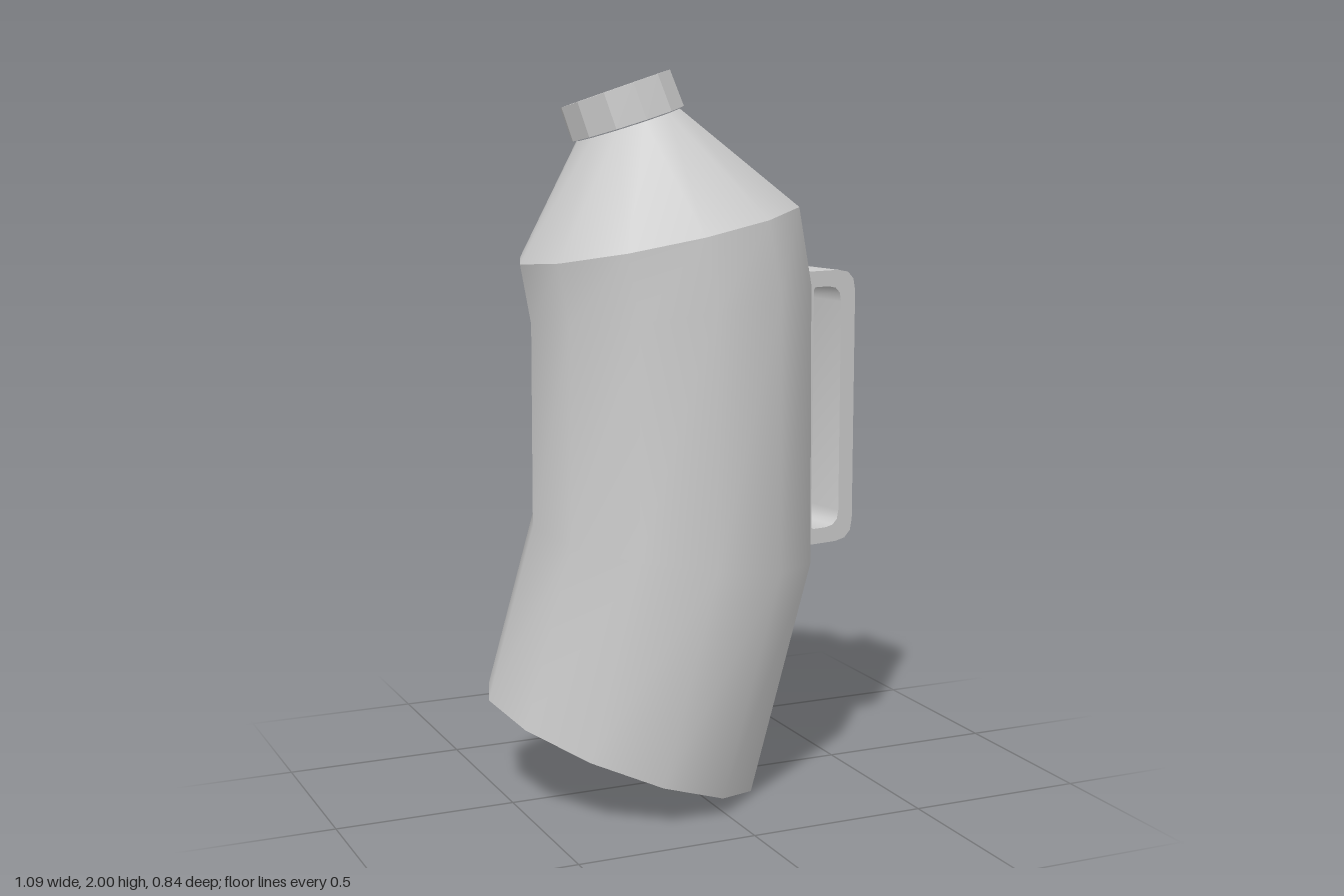
import * as THREE from 'three';
import { toCreasedNormals } from 'three/addons/utils/BufferGeometryUtils.js';

const SIDES = 12;
const TWIST = 0.09;

// Tilted ring: centre, radii along x and z, and rise of its plane per unit x and z
const ring = (x, y, z, rx, rz, slopeX, slopeZ) => ({ x, y, z, rx, rz, slopeX, slopeZ });

function ringPoint(r, i) {
  const a = TWIST + (i / SIDES) * Math.PI * 2;
  const dx = r.rx * Math.cos(a);
  const dz = r.rz * Math.sin(a);
  return [r.x + dx, r.y + r.slopeX * dx + r.slopeZ * dz, r.z + dz];
}

function build(points, index) {
  const g = new THREE.BufferGeometry();
  g.setAttribute('position', new THREE.Float32BufferAttribute(points.flat(), 3));
  g.setIndex(index);
  g.computeVertexNormals();
  return g;
}

// Wall through a stack of rings, lowest first
function loft(rings) {
  const points = [];
  const index = [];
  rings.forEach((r, k) => {
    for (let i = 0; i < SIDES; i++) {
      points.push(ringPoint(r, i));
      if (k === 0) continue;
      const j = (i + 1) % SIDES;
      const a = (k - 1) * SIDES;
      const b = k * SIDES;
      index.push(a + i, b + i, a + j, a + j, b + i, b + j);
    }
  });
  return build(points, index);
}

// Flat end closing one ring
function disc(r, up) {
  const points = [[r.x, r.y, r.z]];
  const index = [];
  for (let i = 0; i < SIDES; i++) {
    points.push(ringPoint(r, i));
    const p = 1 + i;
    const q = 1 + ((i + 1) % SIDES);
    index.push(0, ...(up ? [q, p] : [p, q]));
  }
  return build(points, index);
}

// Rectangle with rounded corners, for the handle outline and its opening
function roundedRect(PathType, x0, y0, x1, y1, r0, r1) {
  const p = new PathType();
  p.moveTo(x0 + r0, y0);
  p.lineTo(x1 - r1, y0);
  p.quadraticCurveTo(x1, y0, x1, y0 + r1);
  p.lineTo(x1, y1 - r1);
  p.quadraticCurveTo(x1, y1, x1 - r1, y1);
  p.lineTo(x0 + r0, y1);
  p.quadraticCurveTo(x0, y1, x0, y1 - r0);
  p.lineTo(x0, y0 + r0);
  p.quadraticCurveTo(x0, y0, x0 + r0, y0);
  return p;
}

export function createModel() {
  const group = new THREE.Group();
  const smooth = new THREE.MeshStandardMaterial({ color: 0xcccccc });
  const faceted = new THREE.MeshStandardMaterial({ color: 0xcccccc, flatShading: true });
  const add = (name, geometry, material = smooth) => {
    const mesh = new THREE.Mesh(geometry, material);
    mesh.name = name;
    group.add(mesh);
    return mesh;
  };

  const base = ring(-0.172, 0.142, -0.025, 0.374, 0.397, -0.37, -0.09);
  const lower = ring(-0.033, 0.715, 0.022, 0.395, 0.395, -0.14, -0.05);
  const upper = ring(-0.035, 1.38, 0.022, 0.391, 0.391, 0.13, 0.03);
  const shoulder = ring(-0.065, 1.565, 0.012, 0.387, 0.39, 0.195, 0.05);
  const neck = ring(-0.14, 1.855, -0.015, 0.14, 0.15, 0.3, 0.1);
  const lidBottom = ring(-0.142, 1.858, -0.015, 0.152, 0.166, 0.3, 0.1);
  const lidTop = ring(-0.173, 1.95, -0.028, 0.148, 0.163, 0.32, 0.13);

  // Bent bottle
  add('body', loft([base, lower, upper, shoulder]));
  add('bottom', disc(base, false));
  add('shoulder', loft([shoulder, neck]));

  // Screw lid
  add('lidSide', loft([lidBottom, lidTop]), faceted);
  add('lidTop', disc(lidTop, true));
  add('lidUnderside', disc(lidBottom, false));

  // Broad loop handle
  const outline = roundedRect(THREE.Shape, -0.03, 0.66, 0.182, 1.445, 0.01, 0.06);
  outline.holes.push(roundedRect(THREE.Path, 0.035, 0.705, 0.132, 1.4, 0.01, 0.045));
  const width = 0.206;
  const loop = new THREE.ExtrudeGeometry(outline, { depth: width, bevelEnabled: false, curveSegments: 3 });
  loop.translate(0, 0, -width / 2);
  const handle = add('handle', toCreasedNormals(loop, 0.7));
  handle.position.set(0.345, 0, -0.044);
  handle.rotation.y = 0.165;

  return group;
}
